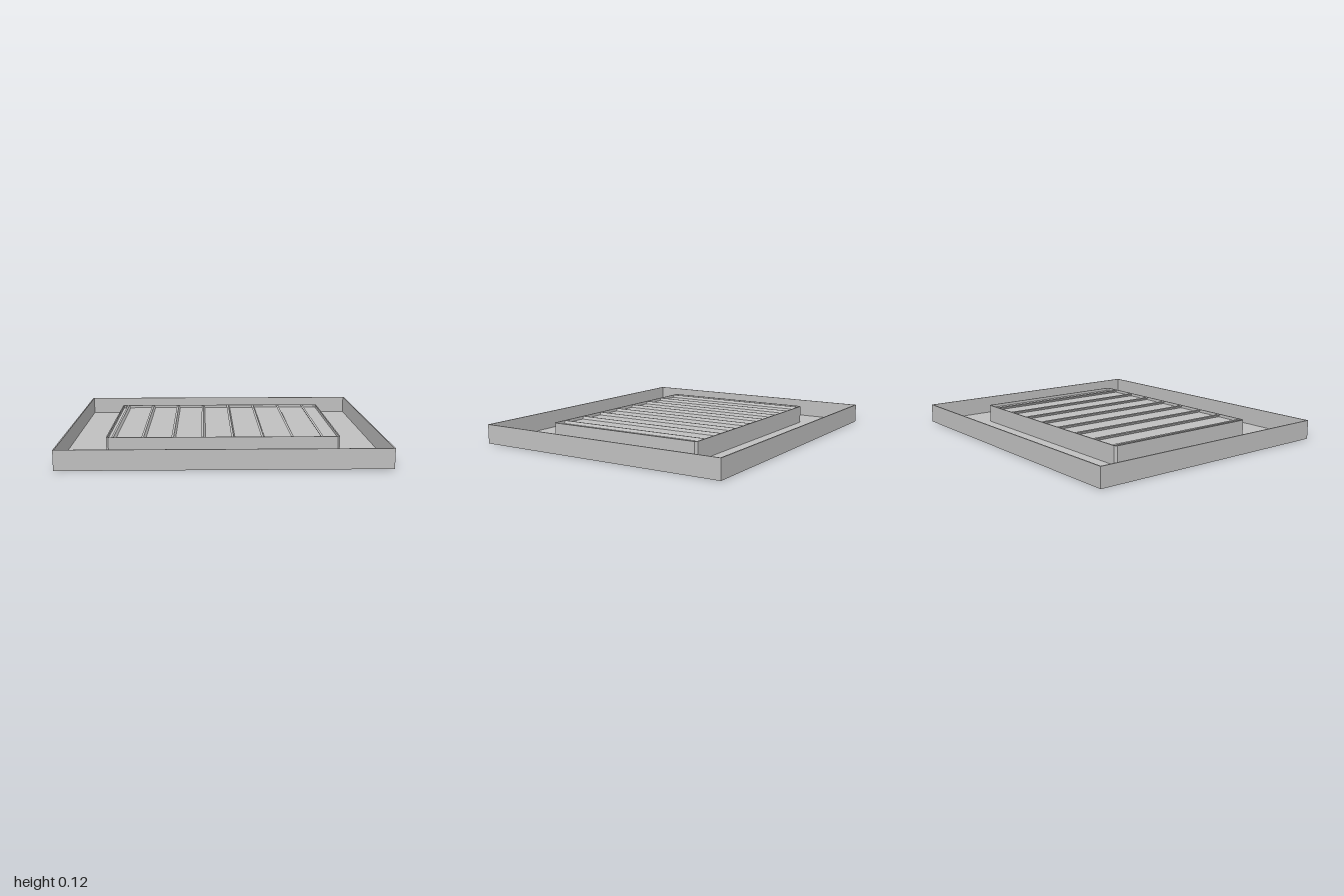
import * as THREE from 'three';

const HEIGHT = 0.125, SHEET = 0.008;

// Rectangle outline with small corner chamfers
function outline(Target, halfX, halfZ, c = 0) {
  const points = c === 0
    ? [[-halfX, -halfZ], [halfX, -halfZ], [halfX, halfZ], [-halfX, halfZ]]
    : [[-halfX + c, -halfZ], [halfX - c, -halfZ], [halfX, -halfZ + c], [halfX, halfZ - c],
       [halfX - c, halfZ], [-halfX + c, halfZ], [-halfX, halfZ - c], [-halfX, -halfZ + c]];
  return new Target(points.map(([x, y]) => new THREE.Vector2(x, y)));
}

// Upright extrusion of a rectangle, optionally with a hole
function frame(name, material, outer, inner, y, height) {
  const shape = outline(THREE.Shape, ...outer);
  if (inner) shape.holes.push(outline(THREE.Path, ...inner));
  const geometry = new THREE.ExtrudeGeometry(shape, { depth: height, bevelEnabled: false });
  geometry.rotateX(-Math.PI / 2);
  const mesh = new THREE.Mesh(geometry, material);
  mesh.name = name;
  mesh.position.y = y;
  return mesh;
}

export function createModel() {
  const model = new THREE.Group();
  model.name = 'louveredVent';
  const metal = new THREE.MeshStandardMaterial({ color: 0xc0c0c0 });
  metal.name = 'grey sheet metal';

  const X = 1, Z = 0.862;            // outer flange
  const cx = 0.73, cz = 0.545;       // raised collar
  const chamfer = 0.014;

  // Flat flange with the duct opening, and its upturned rim
  model.add(frame('flange', metal, [X, Z], [cx - SHEET, cz - SHEET, chamfer], 0, SHEET));
  model.add(frame('outerRim', metal, [X, Z], [X - SHEET, Z - SHEET], SHEET, HEIGHT - SHEET));

  // Collar around the opening
  model.add(frame('collar', metal, [cx, cz, chamfer],
    [cx - SHEET, cz - SHEET, chamfer], SHEET, HEIGHT - SHEET));

  // Sheet closing the collar just below its top edge
  model.add(frame('coverSheet', metal, [cx - SHEET, cz - SHEET, chamfer], null, 0.1, 0.006));

  // Slanted louvres, their upper edges standing just proud of the cover sheet
  const louvres = new THREE.Group();
  louvres.name = 'louvres';
  const profile = new THREE.Shape([
    [-0.008, 0.122], [0.062, 0.002], [0.075, 0.008], [0.006, 0.124],
  ].map(([x, y]) => new THREE.Vector2(x, y)));
  const length = 2 * (cz - SHEET);
  const blade = new THREE.ExtrudeGeometry(profile, { depth: length, bevelEnabled: false });
  blade.translate(0, 0, -length / 2);
  for (let i = 0; i < 8; i++) {
    const louvre = new THREE.Mesh(blade, metal);
    louvre.name = 'louvre';
    louvre.position.x = -0.69 + i * 0.187;
    louvres.add(louvre);
  }
  model.add(louvres);
  return model;
}
